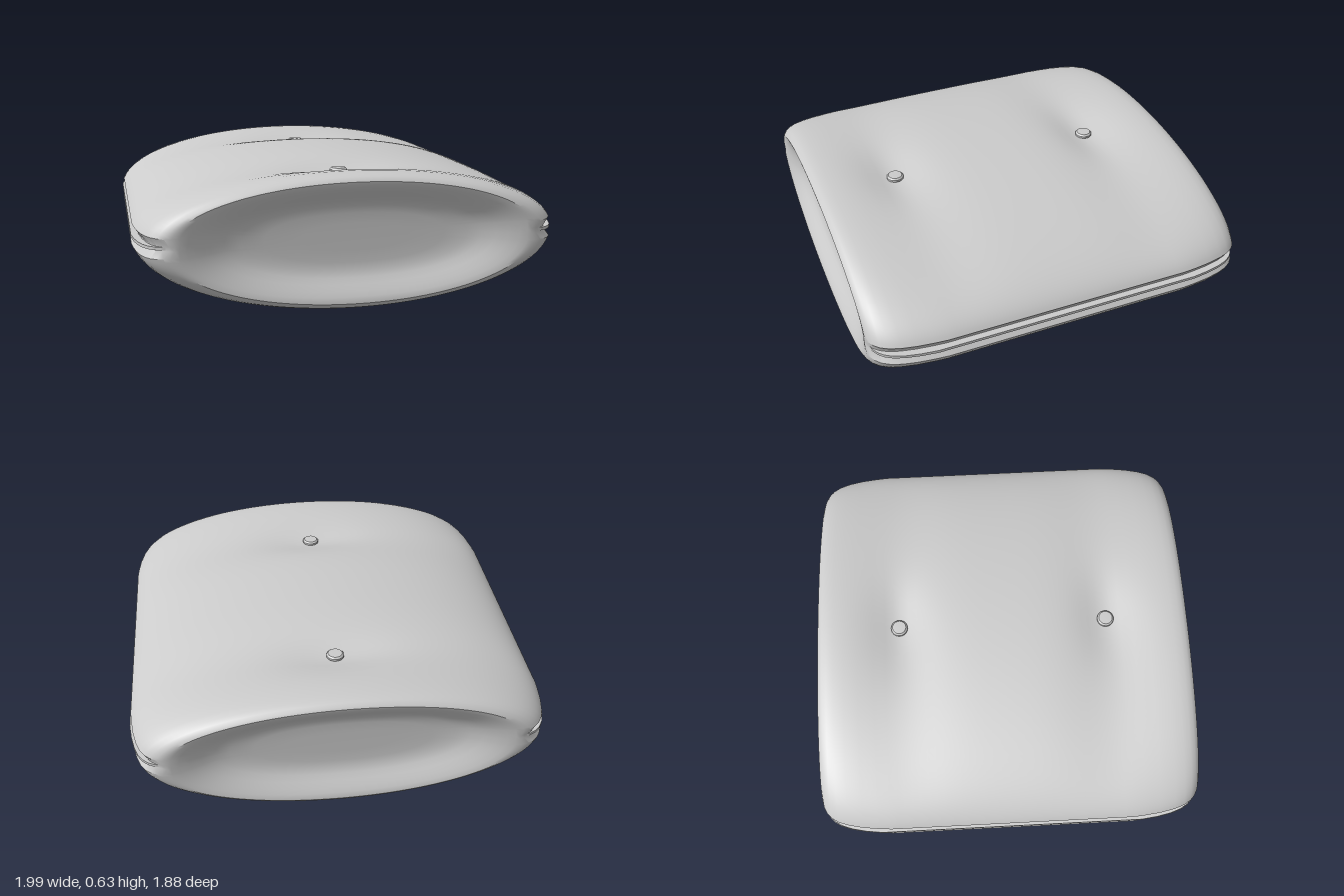
import * as THREE from 'three';
import { toCreasedNormals } from 'three/addons/utils/BufferGeometryUtils.js';

const MID = 0.335; // height of the side seam
const TOP = 0.3, BOTTOM = 0.335; // section height above and below the seam
const material = new THREE.MeshStandardMaterial({ color: 0xcccccc, side: THREE.DoubleSide });

// Quarter ellipse from angle a to angle b, relative to the seam
const arc = (height, a, b, n) => Array.from({ length: n + 1 }, (_, i) => {
  const t = THREE.MathUtils.lerp(a, b, i / n);
  return new THREE.Vector2(Math.cos(t), height * Math.sin(t));
});

// Lens-shaped section with a V-shaped seam groove at each side
function sectionPoints() {
  const groove = [[0.962, -0.008], [0.962, 0.014]].map(p => new THREE.Vector2(...p));
  const right = [
    ...arc(BOTTOM, -Math.PI / 2, -0.135, 28), ...groove, ...arc(TOP, 0.167, Math.PI / 2, 28),
  ];
  const left = right.slice(1, -1).reverse().map(p => new THREE.Vector2(-p.x, p.y));
  return [...right, ...left];
}

// End rings: z, width scale, height scale, blend from grooved lens to rounded oval
const END = [
  [0.86, 0, 0, 1], [0.86, 0.25, 0.2, 1], [0.861, 0.42, 0.36, 1], [0.866, 0.53, 0.47, 1],
  [0.88, 0.6, 0.56, 1], [0.9, 0.66, 0.64, 1], [0.918, 0.715, 0.72, 1],
  [0.932, 0.765, 0.785, 1], [0.939, 0.805, 0.835, 0.8], [0.941, 0.845, 0.875, 0.2],
  [0.934, 0.875, 0.912, 0], [0.918, 0.905, 0.945, 0], [0.895, 0.93, 0.97, 0],
  [0.86, 0.952, 0.985, 0], [0.81, 0.97, 0.995, 0], [0.74, 0.985, 1, 0], [0.66, 0.995, 1, 0],
];

// Broad hollows with a tighter tuck around each button
function dimple(x, z) {
  const d = Math.abs(z) - 0.53;
  return 0.033 * Math.exp(-((x / 0.8) ** 2) - (d / 0.22) ** 2)
    + 0.032 * Math.exp(-((x / 0.25) ** 2) - (d / 0.12) ** 2);
}

function bodyGeometry() {
  const section = sectionPoints();
  const rings = [...END];
  for (let i = 15; i >= -15; i--) rings.push([i * 0.04, 1, 1, 0]);
  for (const [z, ...rest] of [...END].reverse()) rings.push([-z, ...rest]);
  const positions = [], index = [], n = section.length;
  rings.forEach(([z, sx, sy, blend], i) => {
    section.forEach((p, j) => {
      const height = p.y > 0 ? TOP : BOTTOM;
      const a = Math.atan2(p.y / height, p.x);
      const c = Math.cos(a), s = Math.sin(a);
      const ovalX = Math.sign(c) * Math.abs(c) ** 0.9;
      const ovalY = height * Math.sign(s) * Math.abs(s) ** 0.9;
      const x = sx * THREE.MathUtils.lerp(p.x, ovalX, blend);
      let y = MID + sy * THREE.MathUtils.lerp(p.y, ovalY, blend);
      // Press the hollows into the upper surface only
      y -= dimple(x, z) * THREE.MathUtils.smoothstep(p.y, 0.05, 0.2) * THREE.MathUtils.smoothstep(sy, 0.85, 1);
      positions.push(x, y, z);
      if (i < rings.length - 1) {
        const k = (j + 1) % n, r = i * n;
        index.push(r + j, r + n + j, r + k, r + k, r + n + j, r + n + k);
      }
    });
  });
  const g = new THREE.BufferGeometry();
  g.setAttribute('position', new THREE.Float32BufferAttribute(positions, 3));
  g.setIndex(index);
  return toCreasedNormals(g, 0.55);
}

// Thin flat strip that follows the rounded side outline inside the groove
function seamStrip(side) {
  const outer = END.slice(9).map(([z, sx]) => [sx * 0.998, z - 0.012]);
  const path = [...outer, ...[...outer].reverse().map(([x, z]) => [x, -z])];
  const inner = [...path].reverse().map(([x, z]) => [x - 0.07, z * 0.985]);
  const shape = new THREE.Shape([...path, ...inner].map(([x, z]) => new THREE.Vector2(side * x, z)));
  const g = new THREE.ExtrudeGeometry(shape, { depth: 0.014, bevelEnabled: false });
  g.rotateX(Math.PI / 2);
  const mesh = new THREE.Mesh(g, material);
  mesh.position.y = 0.345;
  mesh.name = side > 0 ? 'leftSeamStrip' : 'rightSeamStrip';
  return mesh;
}

// Small flat-topped button with a rounded rim
function button(z) {
  const profile = [[0, -0.02], [0.03, -0.02], [0.034, 0.004], [0.042, 0.008], [0.042, 0.018], [0.034, 0.026], [0, 0.027]];
  const g = new THREE.LatheGeometry(profile.map(p => new THREE.Vector2(...p)), 24);
  const mesh = new THREE.Mesh(toCreasedNormals(g, 0.6), material);
  mesh.position.set(0, MID + TOP - dimple(0, z), z);
  mesh.name = z > 0 ? 'frontButton' : 'backButton';
  return mesh;
}

export function createModel() {
  const group = new THREE.Group();
  group.name = 'cushion';
  const body = new THREE.Mesh(bodyGeometry(), material);
  body.name = 'cushionBody';
  group.add(body);
  for (const s of [1, -1]) group.add(seamStrip(s), button(s * 0.527));
  return group;
}
